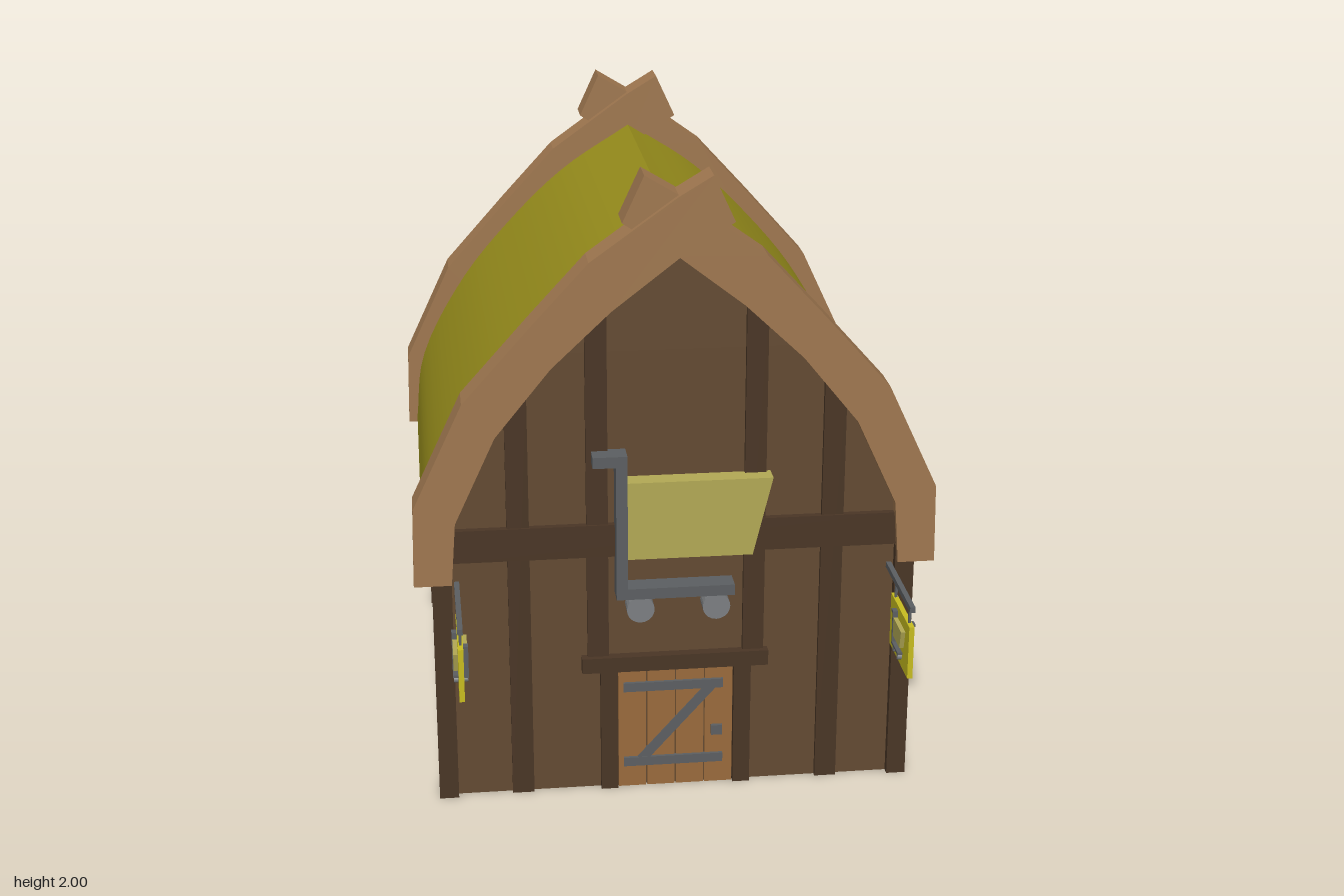
import * as THREE from 'three';
import { toCreasedNormals } from 'three/addons/utils/BufferGeometryUtils.js';

const mat = (color) => new THREE.MeshStandardMaterial({ color, flatShading: true });
const wallMat = mat(0x644b33), darkMat = mat(0x4a3626), beamMat = mat(0xa07850);
const doorMat = mat(0x9a6b3c), ironMat = mat(0x5c5f62), wheelMat = mat(0x7c7f82);
const basketMat = mat(0xb3aa55), plateMat = mat(0xc8bd20);
const roofMat = new THREE.MeshStandardMaterial({ color: 0x988e1c });

function add(parent, name, geometry, material) {
  const mesh = new THREE.Mesh(geometry, material);
  mesh.name = name;
  parent.add(mesh);
  return mesh;
}

// Box given by its extents on each axis
function box(parent, name, material, x0, x1, y0, y1, z0, z1) {
  const mesh = add(parent, name, new THREE.BoxGeometry(x1 - x0, y1 - y0, z1 - z0), material);
  mesh.position.set((x0 + x1) / 2, (y0 + y1) / 2, (z0 + z1) / 2);
  return mesh;
}

// Outline in x/y pulled from z0 to z1
function slab(points, z0, z1) {
  const shape = new THREE.Shape(points.map(([x, y]) => new THREE.Vector2(x, y)));
  return new THREE.ExtrudeGeometry(shape, { depth: z1 - z0, bevelEnabled: false }).translate(0, 0, z0);
}

const flipX = (points) => points.map(([x, y]) => [-x, y]);
const arch = (half) => [...half, ...flipX(half.slice(0, -1)).reverse()];

// Cart emblem, standing on z = 0 and facing +z
function cartEmblem() {
  const g = new THREE.Group();
  g.name = 'cartEmblem';
  box(g, 'cartPost', ironMat, -0.19, -0.155, 0.68, 1.15, 0, 0.07);
  box(g, 'cartHandle', ironMat, -0.26, -0.19, 1.115, 1.15, 0, 0.07);
  box(g, 'cartBase', ironMat, -0.155, 0.175, 0.68, 0.715, 0, 0.07);
  add(g, 'cartBasket', slab([[-0.155, 0.81], [0.23, 0.81], [0.29, 1.06], [-0.155, 1.06]], 0, 0.062), basketMat);
  for (const x of [-0.115, 0.12]) {
    const wheel = add(g, 'cartWheel', new THREE.CylinderGeometry(0.043, 0.043, 0.06, 20), wheelMat);
    wheel.rotation.x = Math.PI / 2;
    wheel.position.set(x, 0.64, 0.03);
  }
  return g;
}

// Hanging sign with an emblem on both faces
function hangingSign() {
  const g = new THREE.Group();
  g.name = 'hangingSign';
  box(g, 'signPole', ironMat, -0.008, 0.008, 0.718, 0.736, 0.58, 0.94);
  for (const z of [0.72, 0.905]) box(g, 'signHanger', ironMat, -0.004, 0.004, 0.665, 0.72, z - 0.004, z + 0.004);
  box(g, 'signPlate', plateMat, -0.008, 0.008, 0.5, 0.67, 0.69, 0.94);
  for (const s of [1, -1]) {
    const emblem = cartEmblem();
    emblem.scale.setScalar(0.235);
    emblem.rotation.y = s * Math.PI / 2;
    emblem.position.set(s * 0.007, 0.383, 0.825);
    g.add(emblem);
  }
  return g;
}

export function createModel() {
  const house = new THREE.Group();
  house.name = 'house';

  // Walls with pointed gables
  const gable = [[0.73, 0.77], [0.71, 0.97], [0.585, 1.24], [0.4, 1.46], [0.21, 1.64], [0, 1.79]];
  add(house, 'walls', slab(arch([[0.73, 0], ...gable]), -0.88, 0.6), wallMat);

  // Smoothly curved roof shell
  const curve = new THREE.CatmullRomCurve3(
    [[0.775, 0.77], [0.745, 1.0], [0.6, 1.28], [0.42, 1.5], [0.23, 1.68], [0, 1.83]]
      .map(([x, y]) => new THREE.Vector3(x, y, 0)));
  const outer = arch(curve.getPoints(24).map((p) => [p.x, p.y]));
  const roofGeo = slab([...outer, ...arch(gable).reverse()], -0.85, 0.56);
  add(house, 'roof', toCreasedNormals(roofGeo, 0.5), roofMat);

  // Crossing gable beams, one lapped in front of the other
  const beam = [
    [0.805, 0.75], [0.8, 1.0], [0.645, 1.33], [0.44, 1.56], [0.265, 1.75], [0, 1.94], [-0.1, 2.0],
    [-0.165, 1.86], [0, 1.755], [0.2, 1.6], [0.38, 1.43], [0.55, 1.22], [0.675, 0.95], [0.69, 0.75],
  ];
  const mirrored = flipX(beam).reverse();
  add(house, 'frontBeamLeft', slab(beam, 0.53, 0.64), beamMat);
  add(house, 'frontBeamRight', slab(mirrored, 0.55, 0.66), beamMat);
  add(house, 'backBeamLeft', slab(beam, -0.94, -0.83), beamMat);
  add(house, 'backBeamRight', slab(mirrored, -0.91, -0.8), beamMat);

  // Corner posts
  for (const x of [-0.72, 0.715]) {
    box(house, 'frontCornerPost', darkMat, x - 0.03, x + 0.03, 0, 0.8, 0.55, 0.625);
    box(house, 'backCornerPost', darkMat, x - 0.03, x + 0.03, 0, 0.8, -0.9, -0.84);
  }

  // Timber framing on the front
  for (const s of [-1, 1]) {
    box(house, 'outerStud', darkMat, s * 0.485 - 0.034, s * 0.485 + 0.034, 0, 1.36, 0.58, 0.615);
    box(house, 'innerStud', darkMat, s * 0.243 - 0.033, s * 0.243 + 0.033, 0.44, 1.61, 0.58, 0.615);
    box(house, 'doorPost', darkMat, s * 0.21 - 0.027, s * 0.21 + 0.027, 0, 0.42, 0.58, 0.622);
  }
  box(house, 'crossBeam', darkMat, -0.69, 0.69, 0.805, 0.91, 0.58, 0.622);
  box(house, 'lintel', darkMat, -0.295, 0.29, 0.415, 0.465, 0.58, 0.632);

  // Plank door with iron fittings
  const door = new THREE.Group();
  door.name = 'door';
  house.add(door);
  for (let i = 0; i < 4; i++) {
    const x = -0.183 + i * 0.0915;
    box(door, 'doorPlank', doorMat, x + 0.002, x + 0.0895, 0, 0.415, 0.58, 0.61);
  }
  for (const y of [0.09, 0.353]) box(door, 'doorStrap', ironMat, -0.165, 0.15, y - 0.015, y + 0.015, 0.605, 0.62);
  add(door, 'doorBrace', slab([[-0.125, 0.1], [-0.085, 0.1], [0.13, 0.342], [0.09, 0.342]], 0.605, 0.618), ironMat);
  box(door, 'doorHandle', ironMat, 0.113, 0.148, 0.172, 0.205, 0.605, 0.622);

  // Large emblem above the door and the two hanging signs
  const emblem = cartEmblem();
  emblem.position.z = 0.602;
  house.add(emblem);
  for (const x of [-0.675, 0.67]) {
    const sign = hangingSign();
    sign.position.x = x;
    house.add(sign);
  }
  return house;
}
